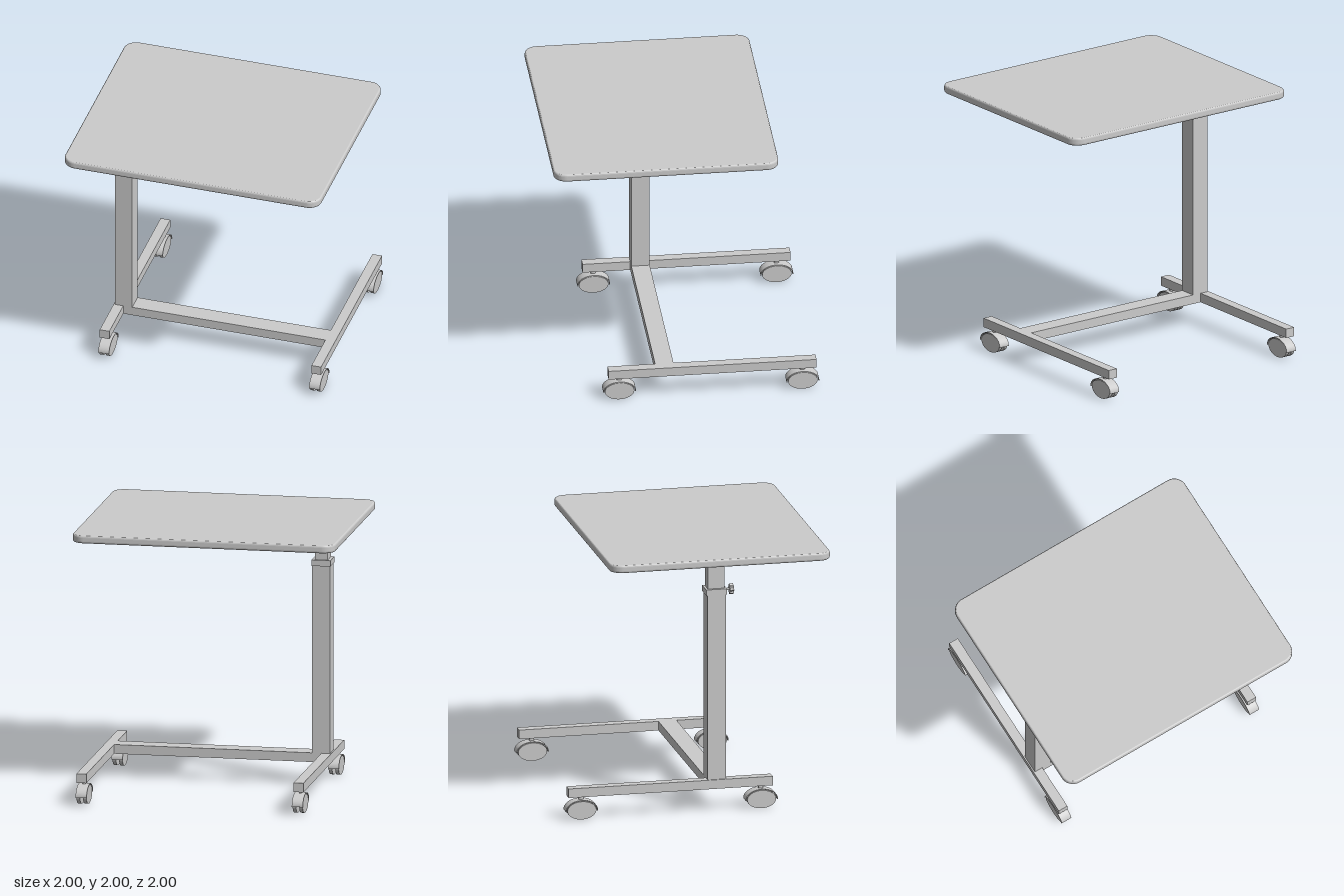
import * as THREE from 'three';

const grey = new THREE.MeshStandardMaterial({ color: 0xcccccc });

function add(parent, name, geometry, x = 0, y = 0, z = 0) {
  const mesh = new THREE.Mesh(geometry, grey);
  mesh.name = name;
  mesh.position.set(x, y, z);
  parent.add(mesh);
  return mesh;
}

// Box given by its limits on each axis
function addBox(parent, name, [x0, x1], [y0, y1], [z0, z1]) {
  return add(parent, name, new THREE.BoxGeometry(x1 - x0, y1 - y0, z1 - z0),
    (x0 + x1) / 2, (y0 + y1) / 2, (z0 + z1) / 2);
}

function roundedRect(w, d, r) {
  const s = new THREE.Shape();
  const x = w / 2 - r, y = d / 2 - r;
  s.absarc(x, y, r, 0, Math.PI / 2);
  s.absarc(-x, y, r, Math.PI / 2, Math.PI);
  s.absarc(-x, -y, r, Math.PI, Math.PI * 1.5);
  s.absarc(x, -y, r, Math.PI * 1.5, Math.PI * 2);
  return s;
}

// Star-shaped grip, extruded along z
function starGeometry(points, outer, inner, depth) {
  const s = new THREE.Shape();
  for (let i = 0; i < points * 2; i++) {
    const r = i % 2 ? inner : outer;
    const a = Math.PI / 2 + (i * Math.PI) / points;
    s[i ? 'lineTo' : 'moveTo'](r * Math.cos(a), r * Math.sin(a));
  }
  s.closePath();
  return new THREE.ExtrudeGeometry(s, { depth, bevelEnabled: false });
}

// Arched strip covering both wheels, open at the bottom
function hoodGeometry(width) {
  const s = new THREE.Shape();
  s.absellipse(0, 0, 0.123, 0.08, -0.06, Math.PI + 0.06, false);
  s.absellipse(0, 0, 0.116, 0.074, Math.PI + 0.06, -0.06, true);
  s.closePath();
  const g = new THREE.ExtrudeGeometry(s, { depth: width, bevelEnabled: false, curveSegments: 32 });
  return g.translate(0, 0, -width / 2).rotateY(Math.PI / 2);
}

// Twin-wheel caster with oval wheels
function makeCaster(x, z) {
  const caster = new THREE.Group();
  caster.name = 'caster';
  caster.position.set(x, 0, z);
  const wheel = new THREE.CylinderGeometry(0.069, 0.069, 0.026, 40)
    .rotateZ(Math.PI / 2).scale(1, 1, 1.6);
  for (const side of [-1, 1]) add(caster, 'wheel', wheel, side * 0.025, 0.07, 0);
  add(caster, 'axle', new THREE.CylinderGeometry(0.014, 0.014, 0.03, 16).rotateZ(Math.PI / 2), 0, 0.07, 0);
  add(caster, 'hood', hoodGeometry(0.084), 0, 0.07, 0);
  add(caster, 'stem', new THREE.CylinderGeometry(0.012, 0.012, 0.04, 20).scale(1, 1, 1.6), 0, 0.16, 0);
  return caster;
}

export function createModel() {
  const table = new THREE.Group();
  table.name = 'overbedTable';

  // Tabletop with rounded corners and softened edges
  const bevel = 0.012;
  const top = new THREE.ExtrudeGeometry(roundedRect(2 - 2 * bevel, 1.69 - 2 * bevel, 0.085), {
    depth: 0.024, bevelThickness: 0.018, bevelSize: bevel, bevelSegments: 6, curveSegments: 12,
  }).rotateX(-Math.PI / 2);
  add(table, 'tabletop', top, 0, 1.958, 0.155);

  // Telescopic column on one side
  addBox(table, 'lowerColumn', [-0.82, -0.685], [0.245, 1.69], [0.087, 0.225]);
  addBox(table, 'upperColumn', [-0.8, -0.705], [1.69, 1.945], [0.092, 0.221]);
  addBox(table, 'collar', [-0.825, -0.68], [1.675, 1.72], [0.075, 0.235]);

  // Height locking knob
  add(table, 'knobShaft', new THREE.CylinderGeometry(0.009, 0.009, 0.05, 16).rotateX(Math.PI / 2), -0.75, 1.697, 0.25);
  add(table, 'knob', starGeometry(8, 0.042, 0.031, 0.03), -0.75, 1.697, 0.267);

  // Floor frame: two rails joined by a crossbar
  const rails = [[-0.83, -0.755], [0.822, 0.897]];
  for (const xs of rails) {
    addBox(table, 'baseRail', xs, [0.175, 0.245], [-0.98, 0.583]);
    for (const z of [0.5, -0.877]) table.add(makeCaster((xs[0] + xs[1]) / 2 + (xs[0] < 0 ? 0.005 : -0.002), z));
  }
  addBox(table, 'crossbar', [-0.755, 0.822], [0.175, 0.245], [0.087, 0.225]);

  return table;
}
